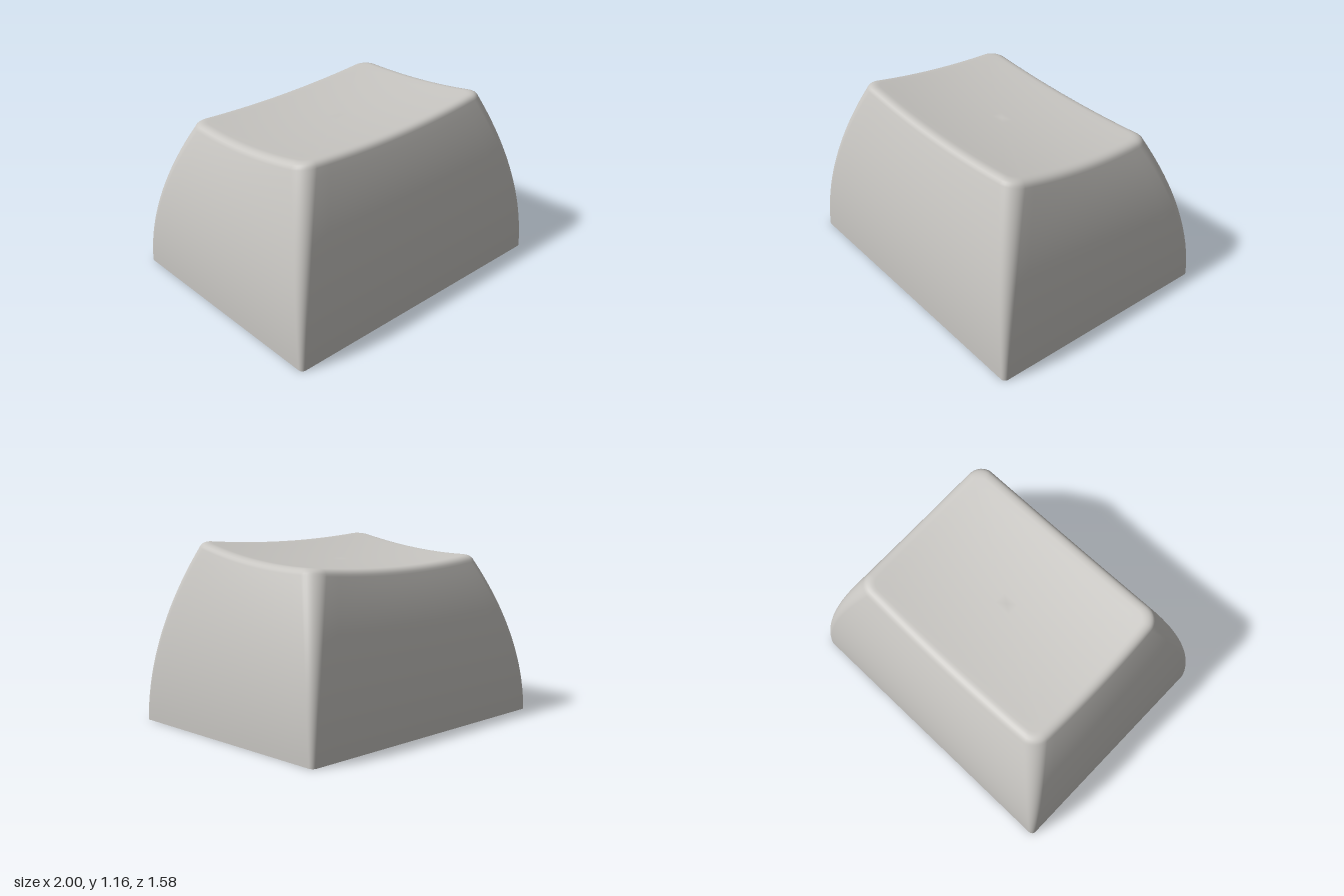
import * as THREE from 'three';

const ARC = 8, SIDE = 14, N = 4 * (ARC + SIDE);
const SIGNS = [[1, 1], [-1, 1], [-1, -1], [1, -1]];

// Point i of a rounded rectangle with half sizes hx, hz, corner radius r and slightly bowed sides
function outline(i, hx, hz, r, bow = 0) {
  const arcPoint = (c, k) => {
    const a = (c % 4 + k / ARC) * Math.PI / 2, [sx, sz] = SIGNS[c % 4];
    return [sx * (hx - r) + r * Math.cos(a), sz * (hz - r) + r * Math.sin(a)];
  };
  const c = Math.floor(i / (ARC + SIDE)), k = i % (ARC + SIDE);
  let x, z;
  if (k <= ARC) [x, z] = arcPoint(c, k);
  else {
    const a = arcPoint(c, ARC), b = arcPoint(c + 1, 0), t = (k - ARC) / SIDE;
    x = a[0] + (b[0] - a[0]) * t;
    z = a[1] + (b[1] - a[1]) * t;
  }
  return [x * (1 + bow * (1 - (z / hz) ** 2)), z * (1 + bow * (1 - (x / hx) ** 2))];
}

// Height of the dished, sloping top
const dish = (x, z) => 1.075 + 0.1085 * z + 0.133 * z * z - 0.035 * (1 - (x / 0.7) ** 2);

const TOP = { hx: 0.765, hz: 0.555, r: 0.1, bow: 0.02 };
const topEdge = (i, inset = 0) =>
  outline(i, TOP.hx - inset, TOP.hz - inset, TOP.r - inset * 0.6, TOP.bow);

// Curved skirt, rounded rim and dished top as one smooth skin
function outerSkin() {
  const rings = [];
  const addRing = (fn) => rings.push(Array.from({ length: N }, (_, i) => fn(i)));
  const rimHeight = (i) => dish(...topEdge(i)) - 0.045;

  for (let j = 0; j <= 20; j++) {
    const s = j / 20, q = s * s;
    addRing((i) => {
      const [x, z] = outline(i, 1 - 0.235 * q, 0.79 - 0.235 * q, 0.03 + 0.07 * s, TOP.bow * q);
      return [x, s * rimHeight(i), z];
    });
  }
  for (let j = 1; j <= 6; j++) {
    const t = j / 6, inset = 2 * t * (1 - t) * 0.016 + t * t * 0.07;
    addRing((i) => {
      const [x, z] = topEdge(i, inset);
      return [x, dish(x, z) - 0.045 * (1 - t) ** 2, z];
    });
  }
  for (let j = 1; j <= 12; j++) {
    const k = 1 - j / 12;
    addRing((i) => {
      const [x, z] = topEdge(i, 0.07);
      return [x * k, dish(x * k, z * k), z * k];
    });
  }

  const index = [];
  for (let j = 0; j < rings.length - 1; j++) {
    for (let i = 0; i < N; i++) {
      const n = (i + 1) % N;
      const a = j * N + i, b = a + N, c = j * N + n, d = c + N;
      index.push(a, b, c);
      if (j < rings.length - 2) index.push(b, d, c);
    }
  }
  const g = new THREE.BufferGeometry();
  g.setAttribute('position', new THREE.Float32BufferAttribute(rings.flat(2), 3));
  g.setIndex(index);
  g.computeVertexNormals();
  // the merged centre points all face up
  for (let i = 0; i < N; i++) g.attributes.normal.setXYZ((rings.length - 1) * N + i, 0, 1, 0);
  return g;
}

// Flat bottom edge of the walls
function bottomRim() {
  const shape = new THREE.Shape(
    Array.from({ length: N }, (_, i) => new THREE.Vector2(...outline(i, 1, 0.79, 0.03))));
  shape.holes.push(new THREE.Path(
    SIGNS.map(([x, z]) => new THREE.Vector2(x * 0.9, z * 0.69))));
  return new THREE.ShapeGeometry(shape).rotateX(Math.PI / 2);
}

// Tapered hollow: an open box turned inside out
function hollow() {
  const h = 0.8, box = new THREE.BoxGeometry(2, h, 2).translate(0, h / 2, 0);
  const p = box.attributes.position;
  for (let i = 0; i < p.count; i++) {
    const inset = p.getY(i) > h / 2 ? 0.19 : 0;
    p.setX(i, p.getX(i) * (0.9 - inset));
    p.setZ(i, p.getZ(i) * (0.69 - inset));
  }
  const idx = Array.from(box.index.array);
  idx.splice(18, 6); // leave the bottom open
  box.clearGroups();
  box.setIndex(idx.reverse());
  const g = box.toNonIndexed();
  g.computeVertexNormals();
  return g;
}

// Round post with a cross-shaped socket
function stemSocket(radius, depth) {
  const shape = new THREE.Shape().absarc(0, 0, radius, 0, Math.PI * 2, false);
  const a = 0.177, b = 0.052;
  const cross = [];
  for (let k = 0; k < 4; k++) {
    for (const [x, y] of [[a, -b], [a, b], [b, b]]) {
      cross.push(new THREE.Vector2(x, y).rotateAround(new THREE.Vector2(), k * Math.PI / 2));
    }
  }
  shape.holes.push(new THREE.Path(cross));
  return new THREE.ExtrudeGeometry(shape, { depth, bevelEnabled: false, curveSegments: 16 })
    .rotateX(-Math.PI / 2);
}

export function createModel() {
  const model = new THREE.Group();
  model.name = 'keycap';
  const plastic = new THREE.MeshStandardMaterial({ color: 0xc8c6c2 });
  plastic.name = 'light grey plastic';

  const add = (name, geometry) => {
    const mesh = new THREE.Mesh(geometry, plastic);
    mesh.name = name;
    model.add(mesh);
    return mesh;
  };
  add('outerShell', outerSkin());
  add('bottomRim', bottomRim());
  add('innerHollow', hollow());
  add('stemSocket', stemSocket(0.237, 0.45));
  add('stemBase', new THREE.CylinderGeometry(0.237, 0.237, 0.36, 32)).position.y = 0.63;
  return model;
}
